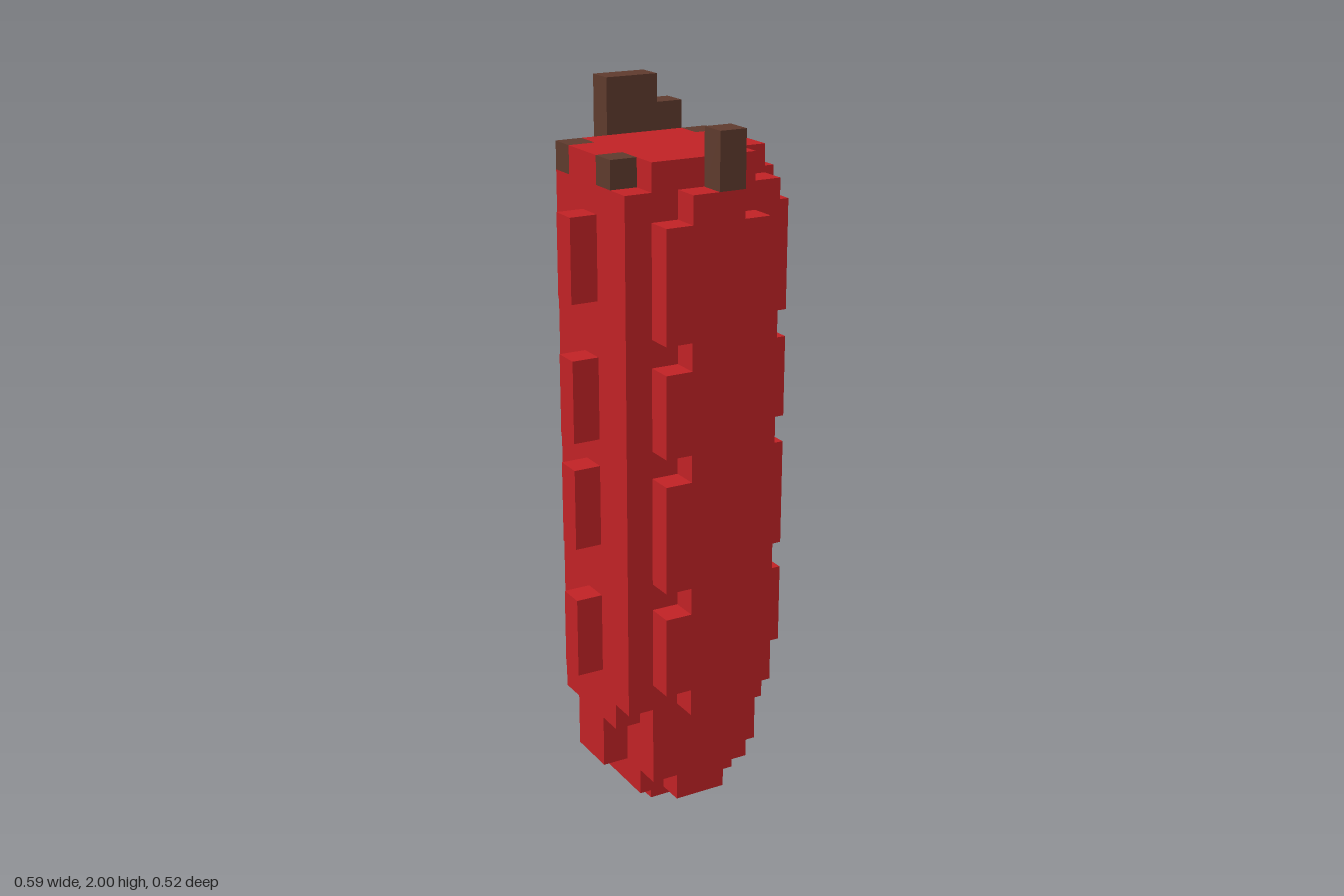
import * as THREE from 'three';

const U = 2 / 27; // edge of one block

export function createModel() {
  const model = new THREE.Group();
  const red = new THREE.MeshStandardMaterial({ color: 0xc02225 });
  red.name = 'red';
  const brown = new THREE.MeshStandardMaterial({ color: 0x5e3a2d });
  brown.name = 'brown';

  // Box given by its limits in blocks
  function block(name, material, [x0, x1], [y0, y1], [z0, z1]) {
    const mesh = new THREE.Mesh(
      new THREE.BoxGeometry((x1 - x0) * U, (y1 - y0) * U, (z1 - z0) * U), material);
    mesh.position.set((x0 + x1) / 2 * U, (y0 + y1) / 2 * U, (z0 + z1) / 2 * U);
    mesh.name = name;
    model.add(mesh);
  }
  // Row of separate blocks up one column
  function ridge(name, x, z, spans) {
    for (const span of spans) block(name, red, x, span, z);
  }

  // Core with a cross-shaped plan
  block('coreDepth', red, [-2, 2], [2, 25], [-2.5, 2.5]);
  block('coreRight', red, [2, 3], [2, 25], [-1.5, 1.5]);
  block('coreLeft', red, [-3, -2], [2, 25], [-1.5, 0.5]);
  block('coreLeftFront', red, [-3, -2], [4, 24], [0.5, 1.5]);

  // Corner columns
  block('frontCorner', red, [2, 3], [5, 24], [1.5, 2.5]);
  block('frontCorner', red, [-3, -2], [5, 24], [1.5, 2.5]);
  block('backCorner', red, [2, 3], [4, 24], [-2.5, -1.5]);
  block('backCorner', red, [-3, -2], [4, 24], [-2.5, -1.5]);

  // Tapered tip
  block('tipUpper', red, [-2, 2], [1, 2], [-2.5, 1.5]);
  block('tipUpperFront', red, [-1, 1], [1, 2], [1.5, 2.5]);
  block('tipEnd', red, [-1, 1], [0, 1], [-1.5, 0.5]);

  // Front slab with notched edge
  const notched = [[6, 9], [10, 14], [15, 18], [19, 23]];
  block('frontSlab', red, [-1, 1], [5, 24], [2.5, 3.5]);
  block('frontSlabEdge', red, [1, 2], [5, 23], [2.5, 3.5]);
  ridge('frontRidge', [-2, -1], [2.5, 3.5], notched);

  // Side slab with notched edge
  block('sideSlab', red, [3, 4], [5, 24], [-0.5, 0.5]);
  block('sideSlabEdge', red, [3, 4], [5, 23], [-1.5, -0.5]);
  ridge('sideRidge', [3, 4], [0.5, 1.5], notched);

  // Back slab with notched edge
  block('backSlabEdge', red, [-2, -1], [5, 24], [-3.5, -2.5]);
  block('backSlab', red, [-1, 0], [4, 24], [-3.5, -2.5]);
  block('backSlab', red, [0, 1], [4, 25], [-3.5, -2.5]);
  block('backSlabEdge', red, [1, 2], [5, 24], [-3.5, -2.5]);
  ridge('backRidge', [2, 3], [-3.5, -2.5], [[6, 9], [11, 13], [15, 18], [20, 22]]);

  // Separate bumps on the other side
  ridge('sideBump', [-4, -3], [-0.5, 0.5], [[6, 9], [11, 14], [15, 18], [20, 23]]);

  // Brown stalks and top corners
  block('backStalk', brown, [-1, 0], [24, 27], [-3.5, -2.5]);
  block('backStalk', brown, [0, 1], [25, 27], [-3.5, -2.5]);
  block('backStalkShort', brown, [1, 2], [24, 26], [-3.5, -2.5]);
  block('frontStalk', brown, [0, 1], [24, 26], [2.5, 3.5]);
  block('topCorner', brown, [-3, -2], [24, 25], [0.5, 1.5]);
  for (const x of [-3, 2]) block('topCorner', brown, [x, x + 1], [24, 25], [-2.5, -1.5]);

  return model;
}
